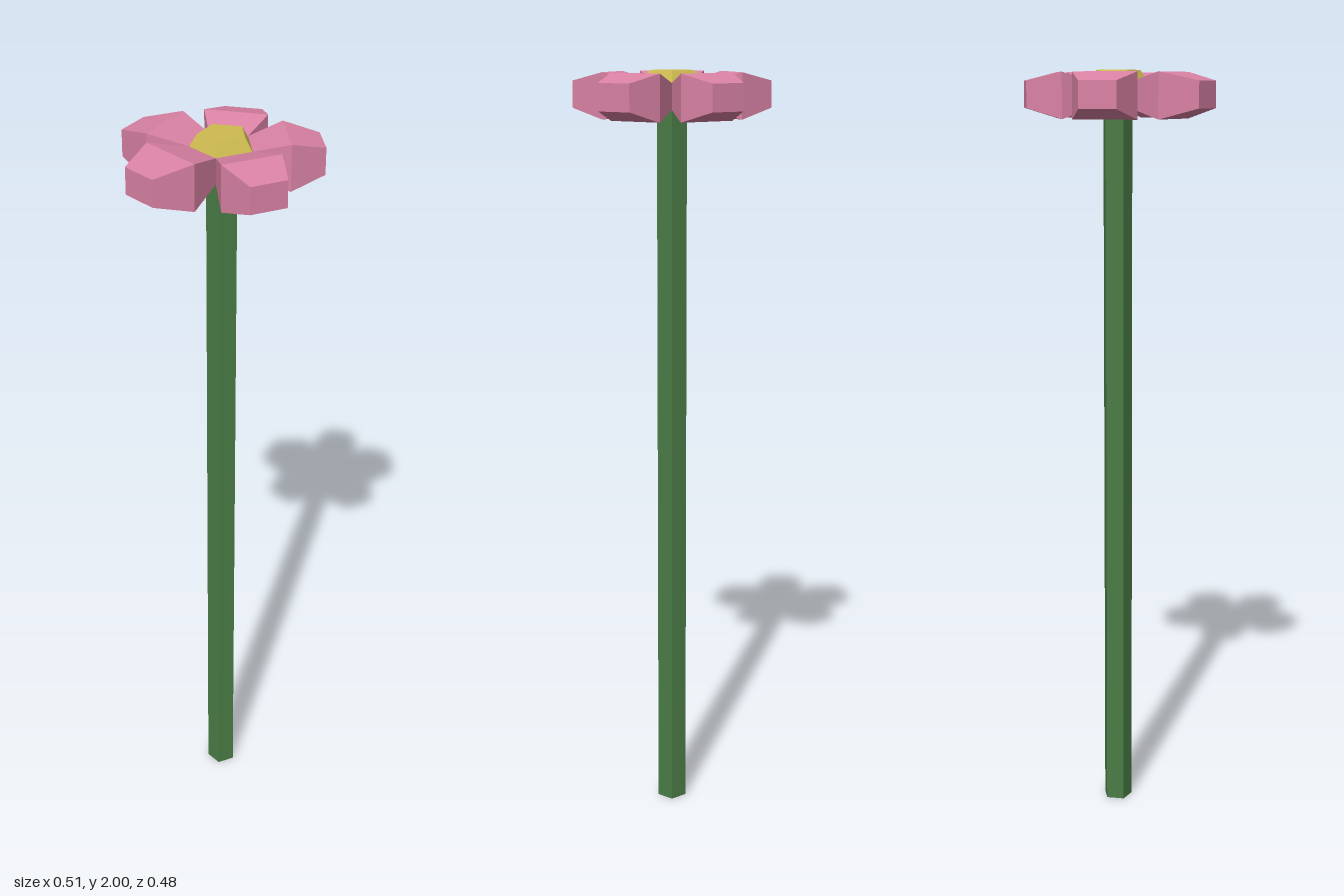
import * as THREE from 'three';

const mat = (color) => new THREE.MeshStandardMaterial({ color, flatShading: true });
const pink = mat(0xda82a4), yellow = mat(0xcdbb50), green = mat(0x4a7c46);

const CENTRE_Z = -0.02;
// Half-open heights [top, bottom] at the inner edge, the ridge and the tip of a petal
const HEIGHTS = [[1.97, 1.905], [1.995, 1.878], [1.973, 1.905]];

// Corners of the flower's pentagonal core (x, z), counterclockwise from above
const CORE = [[-0.048, 0.045], [0.048, 0.045], [0.077, -0.045], [0, -0.101], [-0.077, -0.045]];

// Each petal: ridge a, ridge b, tip a, tip b (x, z)
const PETALS = [
  [[-0.084, 0.143], [0.085, 0.143], [-0.048, 0.238], [0.049, 0.238]],
  [[0.128, 0.1], [0.176, -0.045], [0.225, 0.1], [0.254, 0.01]],
  [[0.152, -0.099], [0.029, -0.187], [0.18, -0.185], [0.102, -0.24]],
  [[-0.022, -0.187], [-0.151, -0.095], [-0.098, -0.24], [-0.175, -0.185]],
  [[-0.177, -0.05], [-0.127, 0.108], [-0.254, 0.012], [-0.227, 0.103]],
];

// Loft rectangular sections from the core edge over the ridge to the tip
function petalGeometry(innerA, innerB, [ridgeA, ridgeB, tipA, tipB]) {
  const pos = [], index = [];
  [[innerA, innerB], [ridgeA, ridgeB], [tipA, tipB]].forEach(([a, b], s) => {
    const [top, bottom] = HEIGHTS[s];
    pos.push(a[0], top, a[1], b[0], top, b[1], b[0], bottom, b[1], a[0], bottom, a[1]);
  });
  const quad = (a, b, c, d) => index.push(a, b, c, a, c, d);
  for (let s = 0; s < 2; s++) {
    for (let i = 0; i < 4; i++) {
      const j = (i + 1) % 4;
      quad(s * 4 + i, s * 4 + 4 + i, s * 4 + 4 + j, s * 4 + j);
    }
  }
  quad(8, 11, 10, 9); // tip
  quad(0, 1, 2, 3); // inner end
  const geo = new THREE.BufferGeometry();
  geo.setAttribute('position', new THREE.Float32BufferAttribute(pos, 3));
  geo.setIndex(index);
  const flat = geo.toNonIndexed();
  flat.computeVertexNormals();
  return flat;
}

// Five-sided post between two heights, one corner pointing to the back
function post(name, rTop, rBottom, y0, y1, material) {
  const mesh = new THREE.Mesh(new THREE.CylinderGeometry(rTop, rBottom, y1 - y0, 5), material);
  mesh.name = name;
  mesh.position.set(0, (y0 + y1) / 2, CENTRE_Z);
  mesh.rotation.y = Math.PI;
  return mesh;
}

export function createModel() {
  const model = new THREE.Group();
  model.name = 'flower';

  model.add(post('stem', 0.04, 0.04, 0, 1.91, green));

  // Blossom: pink base, bevelled yellow centre and five petals
  const blossom = new THREE.Group();
  blossom.name = 'blossom';
  blossom.add(post('blossomBase', 0.081, 0.081, 1.905, 1.968, pink));
  blossom.add(post('flowerCentre', 0.061, 0.081, 1.968, 2, yellow));
  PETALS.forEach((corners, i) => {
    const petal = new THREE.Mesh(petalGeometry(CORE[i], CORE[(i + 1) % 5], corners), pink);
    petal.name = `petal${i + 1}`;
    blossom.add(petal);
  });
  model.add(blossom);

  return model;
}
